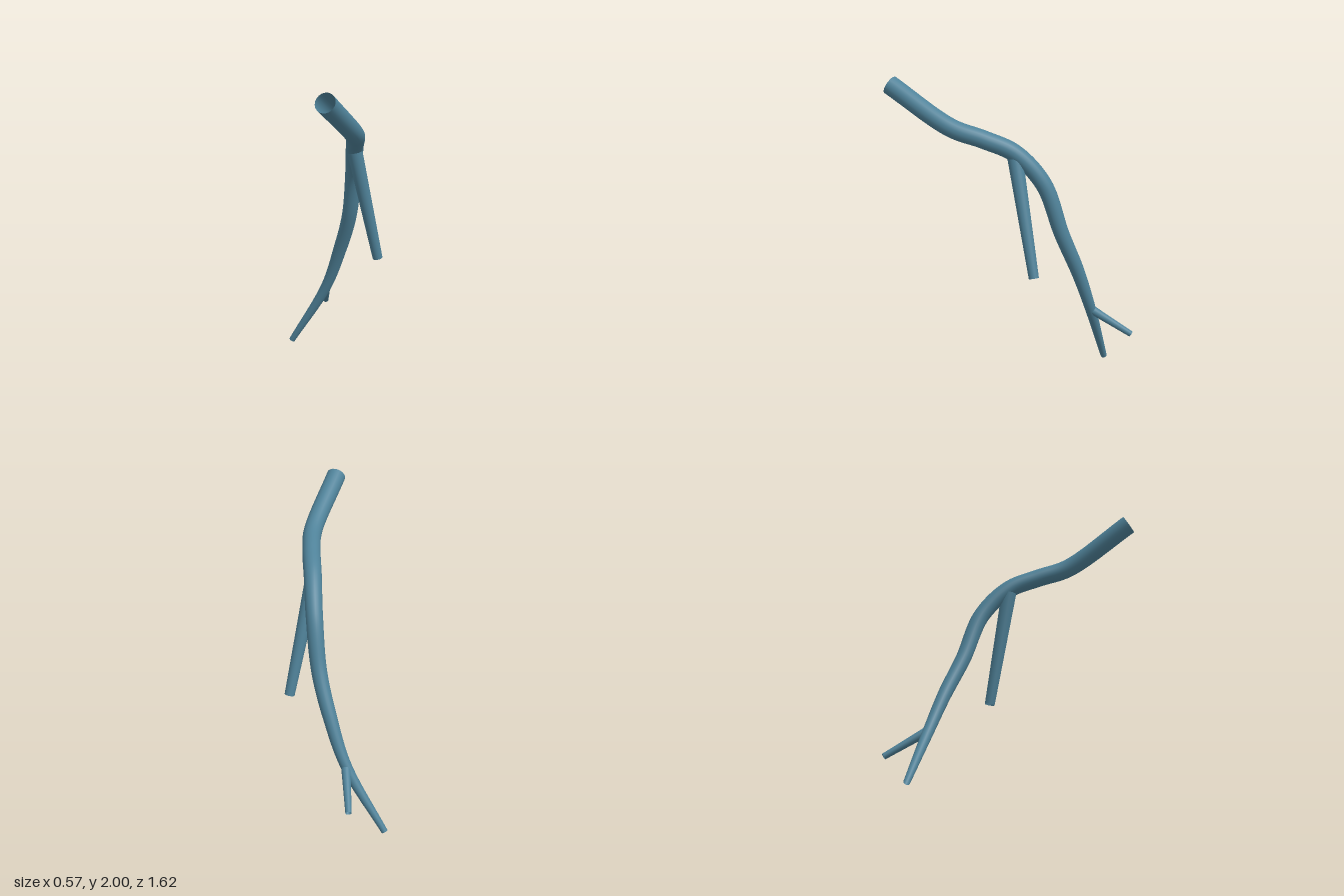
import * as THREE from 'three';

const V = (x, y, z) => new THREE.Vector3(x, y, z);

// Open tube along a curve whose radius is interpolated through evenly spaced values
function taperedTube(name, curve, radii, segments, material) {
  const sides = 24;
  const geo = new THREE.TubeGeometry(curve, segments, 1, sides, false);
  const pos = geo.attributes.position;
  const nor = geo.attributes.normal;
  const centre = V(0, 0, 0);
  for (let i = 0; i <= segments; i++) {
    const t = i / segments;
    const f = t * (radii.length - 1);
    const k = Math.min(Math.floor(f), radii.length - 2);
    const r = THREE.MathUtils.lerp(radii[k], radii[k + 1], f - k);
    curve.getPointAt(t, centre);
    for (let j = 0; j <= sides; j++) {
      const n = i * (sides + 1) + j;
      pos.setXYZ(n, centre.x + nor.getX(n) * r, centre.y + nor.getY(n) * r, centre.z + nor.getZ(n) * r);
    }
  }
  const mesh = new THREE.Mesh(geo, material);
  mesh.name = name;
  return mesh;
}

export function createModel() {
  const group = new THREE.Group();
  group.name = 'branchingVessel';
  const blue = new THREE.MeshStandardMaterial({ color: 0x4f8299, side: THREE.DoubleSide });
  blue.name = 'steelBlue';

  // Main vessel, wide at the top front, narrowing to the bottom back
  const trunk = new THREE.CatmullRomCurve3([
    V(-0.23, 1.945, 0.77),
    V(0.0, 1.70, 0.4),
    V(0.05, 1.63, 0.2),
    V(0.08, 1.54, 0.0),
    V(0.105, 1.34, -0.18),
    V(0.098, 1.01, -0.3),
    V(0.05, 0.73, -0.42),
    V(-0.03, 0.44, -0.525),
    V(-0.255, 0.01, -0.67),
  ]);
  group.add(taperedTube('mainVessel', trunk, [0.064, 0.061, 0.058, 0.053, 0.047, 0.035, 0.021], 96, blue));

  // Straight side branches
  const upper = new THREE.LineCurve3(V(0.08, 1.51, 0.0), V(0.255, 0.76, -0.098));
  group.add(taperedTube('upperBranch', upper, [0.05, 0.033], 8, blue));
  const lower = new THREE.LineCurve3(V(-0.028, 0.435, -0.53), V(0.011, 0.26, -0.797));
  group.add(taperedTube('lowerBranch', lower, [0.03, 0.02], 8, blue));

  return group;
}
